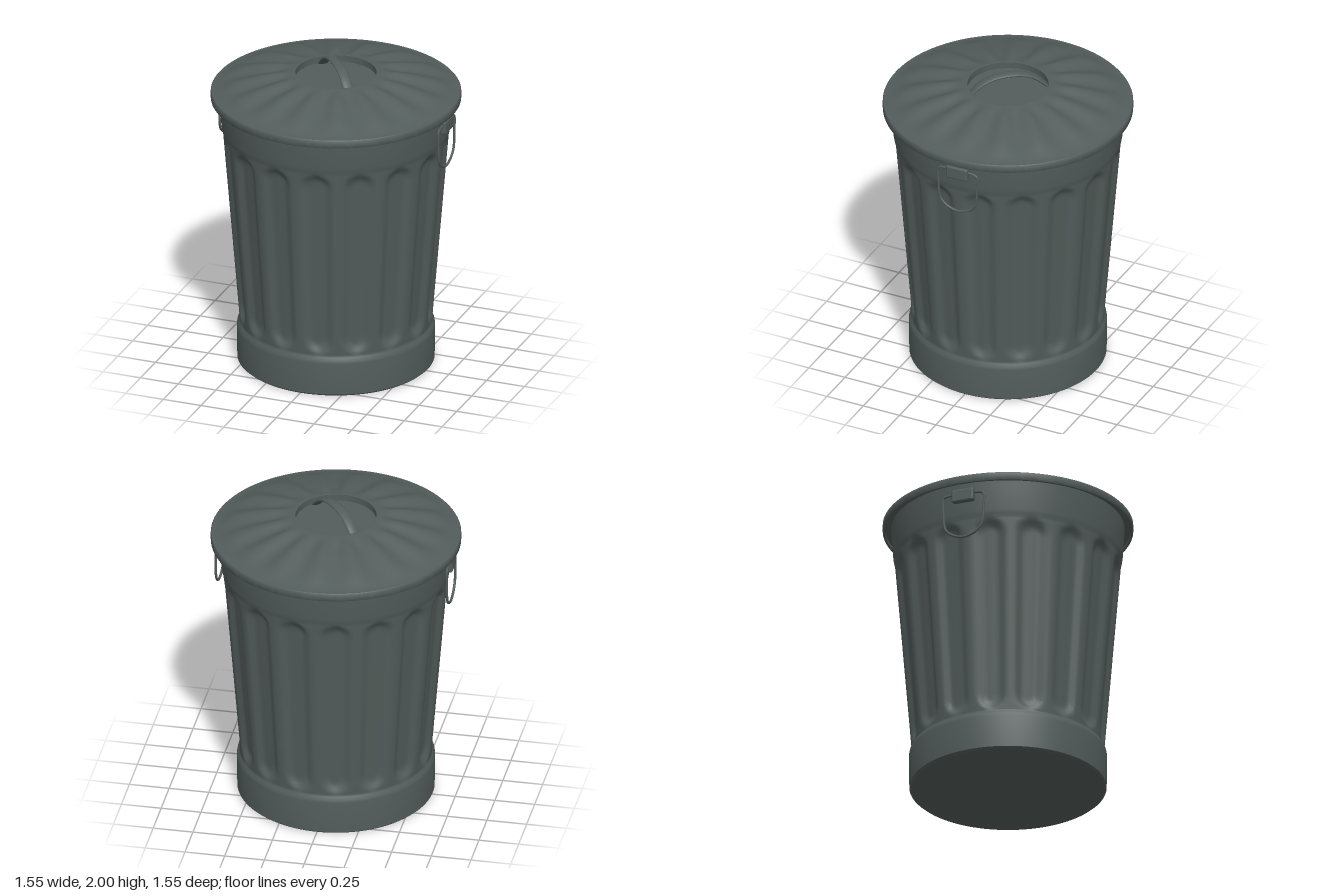
import * as THREE from 'three';
import { toCreasedNormals } from 'three/addons/utils/BufferGeometryUtils.js';
import { RoundedBoxGeometry } from 'three/addons/geometries/RoundedBoxGeometry.js';

const FLUTES = 16;
const SEGMENTS = FLUTES * 12;
const v2 = (x, y) => new THREE.Vector2(x, y);
const v3 = (x, y, z) => new THREE.Vector3(x, y, z);
const smooth = THREE.MathUtils.smoothstep;

// Lathe a profile, then move each vertex by a rule(radius, y, angle) -> [radius, y]
function shapedLathe(points, rule) {
  const geo = new THREE.LatheGeometry(points, SEGMENTS);
  const pos = geo.attributes.position;
  for (let i = 0; i < pos.count; i++) {
    const x = pos.getX(i), z = pos.getZ(i);
    const angle = Math.atan2(x, z);
    const [r, y] = rule(Math.hypot(x, z), pos.getY(i), angle);
    pos.setXYZ(i, r * Math.sin(angle), y, r * Math.cos(angle));
  }
  geo.deleteAttribute('uv');
  return toCreasedNormals(geo, 0.7);
}

// Tapered can: plain foot and top band, pressed panels between
function bodyGeometry() {
  const pts = [v2(0.001, 0), v2(0.595, 0), v2(0.609, 0.012), v2(0.612, 0.22), v2(0.609, 0.238), v2(0.598, 0.255)];
  for (let i = 0; i <= 36; i++) {
    const t = i / 36;
    // rows gather near both ends, where the panels round off
    const e = t - 0.13 * Math.sin(2 * Math.PI * t);
    pts.push(v2(0.594 + 0.104 * e, 0.265 + 1.27 * e));
  }
  pts.push(v2(0.704, 1.555), v2(0.708, 1.58), v2(0.717, 1.72), v2(0.72, 1.775));
  return shapedLathe(pts, (r, y, a) => {
    const wave = 0.5 - 0.5 * Math.cos(FLUTES * a);
    const arch = 0.06 * (1 - wave);
    const ends = smooth(y, 0.26 + arch, 0.34 + arch) * (1 - smooth(y, 1.47 - arch, 1.545 - arch));
    return [r - 0.03 * smooth(wave, 0.08, 0.65) * ends, y];
  });
}

// Domed lid with radial pleats, a rolled rim and a sunken centre
function lidGeometry() {
  const dome = new THREE.SplineCurve([v2(0.755, 1.803), v2(0.72, 1.812), v2(0.62, 1.847), v2(0.47, 1.886), v2(0.34, 1.91), v2(0.255, 1.923)]);
  const pts = [
    v2(0.001, 1.772), v2(0.757, 1.772), v2(0.757, 1.75), v2(0.77, 1.75), v2(0.773, 1.755), v2(0.773, 1.796), v2(0.768, 1.802),
    ...dome.getPoints(24),
    v2(0.25, 1.922), v2(0.25, 1.88), v2(0.001, 1.88),
  ];
  return shapedLathe(pts, (r, y, a) => {
    const fade = y > 1.8 ? smooth(r, 0.26, 0.4) * (1 - smooth(r, 0.58, 0.745)) : 0;
    return [r, y + 0.011 * fade * Math.cos(FLUTES * a)];
  });
}

export function createModel() {
  const root = new THREE.Group();
  root.name = 'trashCan';
  const metal = new THREE.MeshStandardMaterial({ color: 0x535d5b });
  metal.name = 'grey green metal';

  const add = (parent, geo, name) => {
    const mesh = new THREE.Mesh(geo, metal);
    mesh.name = name;
    parent.add(mesh);
    return mesh;
  };

  add(root, bodyGeometry(), 'body');
  add(root, lidGeometry(), 'lid');

  // Flat strap arched diagonally across the sunken centre
  const arch = new THREE.CatmullRomCurve3(
    [[-0.25, 1.875], [-0.18, 1.938], [-0.1, 1.976], [0, 1.988], [0.1, 1.976], [0.18, 1.938], [0.25, 1.875]]
      .map(([x, y]) => v3(x, y, 0)));
  const strap = new THREE.TubeGeometry(arch, 40, 0.012, 16);
  strap.scale(1, 1, 2.7);
  add(root, strap, 'lidHandle').rotation.y = -Math.atan2(0.19, 0.165);

  // Bracket and hanging wire loop on each side
  const half = [[0.125, 1.69], [0.135, 1.675], [0.132, 1.58], [0.127, 1.5], [0.115, 1.465], [0.07, 1.425]];
  const outline = [...half, [0, 1.406], ...half.map(([z, y]) => [-z, y]).reverse()];
  for (const side of [1, -1]) {
    const handle = new THREE.Group();
    handle.name = side > 0 ? 'leftHandle' : 'rightHandle';
    handle.position.set(side * 0.727, 0, -0.015);
    const path = new THREE.CatmullRomCurve3(outline.map(([z, y]) => v3(0, y, z)), true, 'centripetal');
    add(handle, new THREE.TubeGeometry(path, 96, 0.008, 8, true), 'wireLoop');
    const bracket = add(handle, new RoundedBoxGeometry(0.04, 0.085, 0.145, 3, 0.012), 'bracket');
    bracket.position.set(side * 0.003, 1.683, 0);
    root.add(handle);
  }
  return root;
}
